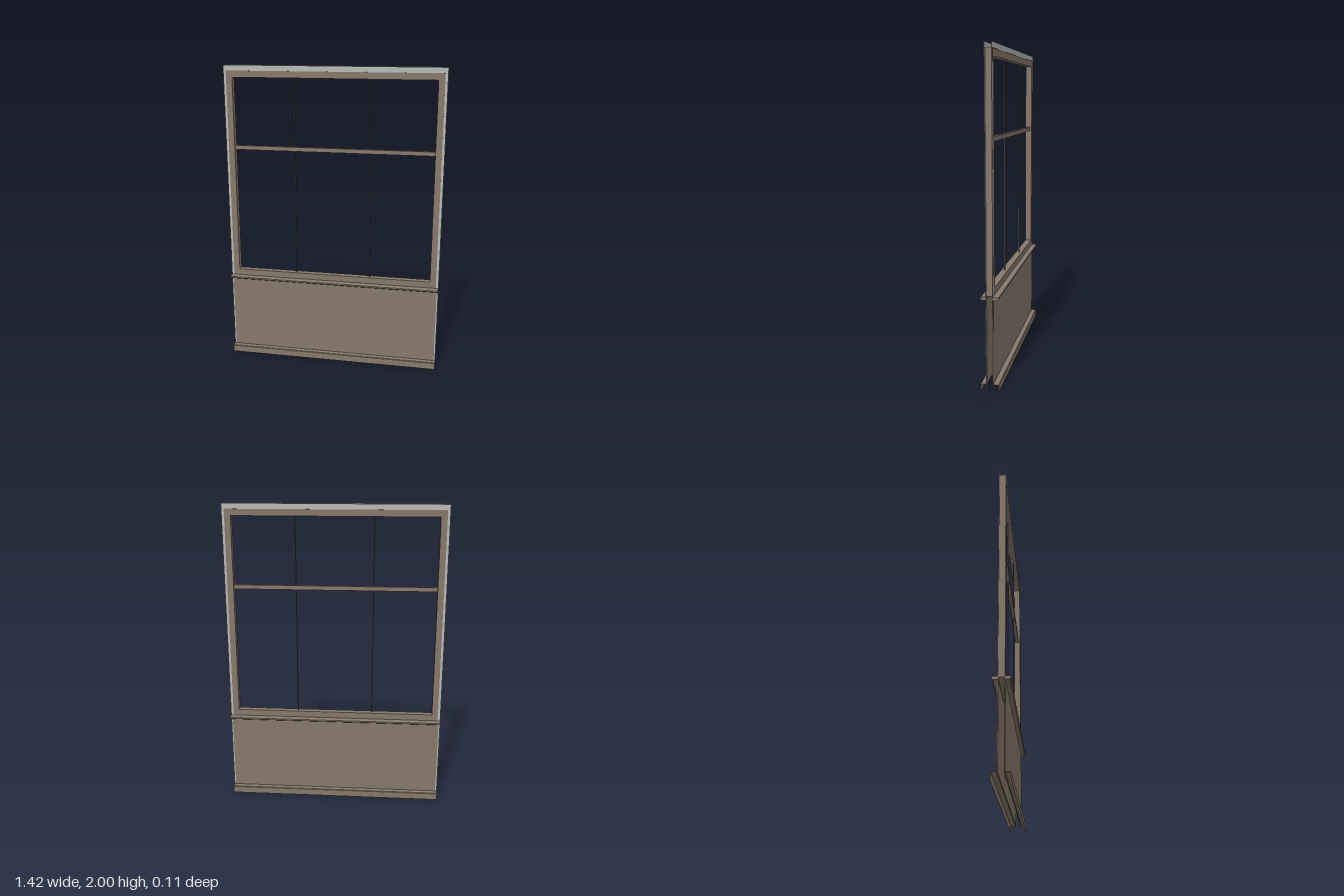
import * as THREE from 'three';

const paint = new THREE.MeshStandardMaterial({ color: 0x87796c, side: THREE.DoubleSide });
paint.name = 'taupe paint';
const metal = new THREE.MeshStandardMaterial({ color: 0xb8bab5, side: THREE.DoubleSide });
metal.name = 'galvanised metal';
const seal = new THREE.MeshStandardMaterial({ color: 0x5a5752 });
seal.name = 'dark seal';

const HALF = 0.712;   // half width over the metal edges
const FRAME = 0.695;  // half width of the window frame
const FACE = 0.022;   // half depth of the wall

export function createModel() {
  const model = new THREE.Group();
  model.name = 'glazedPartition';

  const add = (name, geometry, material, x = 0, y = 0, z = 0) => {
    const mesh = new THREE.Mesh(geometry, material);
    mesh.name = name;
    mesh.position.set(x, y, z);
    model.add(mesh);
    return mesh;
  };
  // Box given by its limits on each axis
  const box = (name, material, x0, x1, y0, y1, z0, z1) =>
    add(name, new THREE.BoxGeometry(Math.abs(x1 - x0), y1 - y0, Math.abs(z1 - z0)),
      material, (x0 + x1) / 2, (y0 + y1) / 2, (z0 + z1) / 2);
  // Profile of [z, y] points run along the full width
  const rail = (name, points, side) => {
    const shape = new THREE.Shape(points.map(([z, y]) => new THREE.Vector2(-z * side, y)));
    const geometry = new THREE.ExtrudeGeometry(shape, { depth: 2 * HALF, bevelEnabled: false });
    geometry.rotateY(Math.PI / 2);
    add(name, geometry, paint, -HALF);
  };

  // Window frame with one large opening
  const outline = new THREE.Shape([
    new THREE.Vector2(-FRAME, 0.575), new THREE.Vector2(FRAME, 0.575),
    new THREE.Vector2(FRAME, 1.965), new THREE.Vector2(-FRAME, 1.965)]);
  outline.holes.push(new THREE.Path([
    new THREE.Vector2(-0.655, 0.618), new THREE.Vector2(-0.655, 1.923),
    new THREE.Vector2(0.655, 1.923), new THREE.Vector2(0.655, 0.618)]));
  add('windowFrame', new THREE.ExtrudeGeometry(outline, { depth: 2 * FACE, bevelEnabled: false }),
    paint, 0, 0, -FACE);

  // Transom and the thin upright glass joints
  box('transom', paint, -0.655, 0.655, 1.455, 1.482, -0.012, 0.012);
  for (const x of [-0.25, 0.25]) {
    box('glassJointLower', seal, x - 0.003, x + 0.003, 0.618, 1.455, -0.004, 0.004);
    box('glassJointUpper', seal, x - 0.003, x + 0.003, 1.482, 1.923, -0.004, 0.004);
  }

  // Web of the open top track
  box('topTrackWeb', metal, -FRAME, FRAME, 1.965, 1.967, -0.02, 0.02);

  for (const s of [-1, 1]) {
    // Top track flange and post flanges
    box('topTrackFlange', metal, -HALF, HALF, 1.967, 2, s * 0.0195, s * 0.0215);
    for (const e of [-1, 1]) {
      box('postFlange', metal, e * FRAME, e * HALF, 0.01, 1.967, s * 0.0195, s * 0.0215);
    }
    // Lower wall sheet
    box('lowerPanel', paint, -0.702, 0.702, 0.045, 0.56, s * 0.016, s * 0.0225);
    // Moulded sill rail
    rail('sillRail', [[0.018, 0.556], [0.046, 0.556], [0.053, 0.561], [0.053, 0.57],
      [0.046, 0.575], [0.018, 0.577]], s);
    // Hollow base cover: ledge and skirt
    rail('baseCover', [[0.0225, 0.05], [0.052, 0.048], [0.055, 0.044], [0.055, 0],
      [0.053, 0], [0.053, 0.043], [0.051, 0.046], [0.0225, 0.048]], s);
  }
  return model;
}
